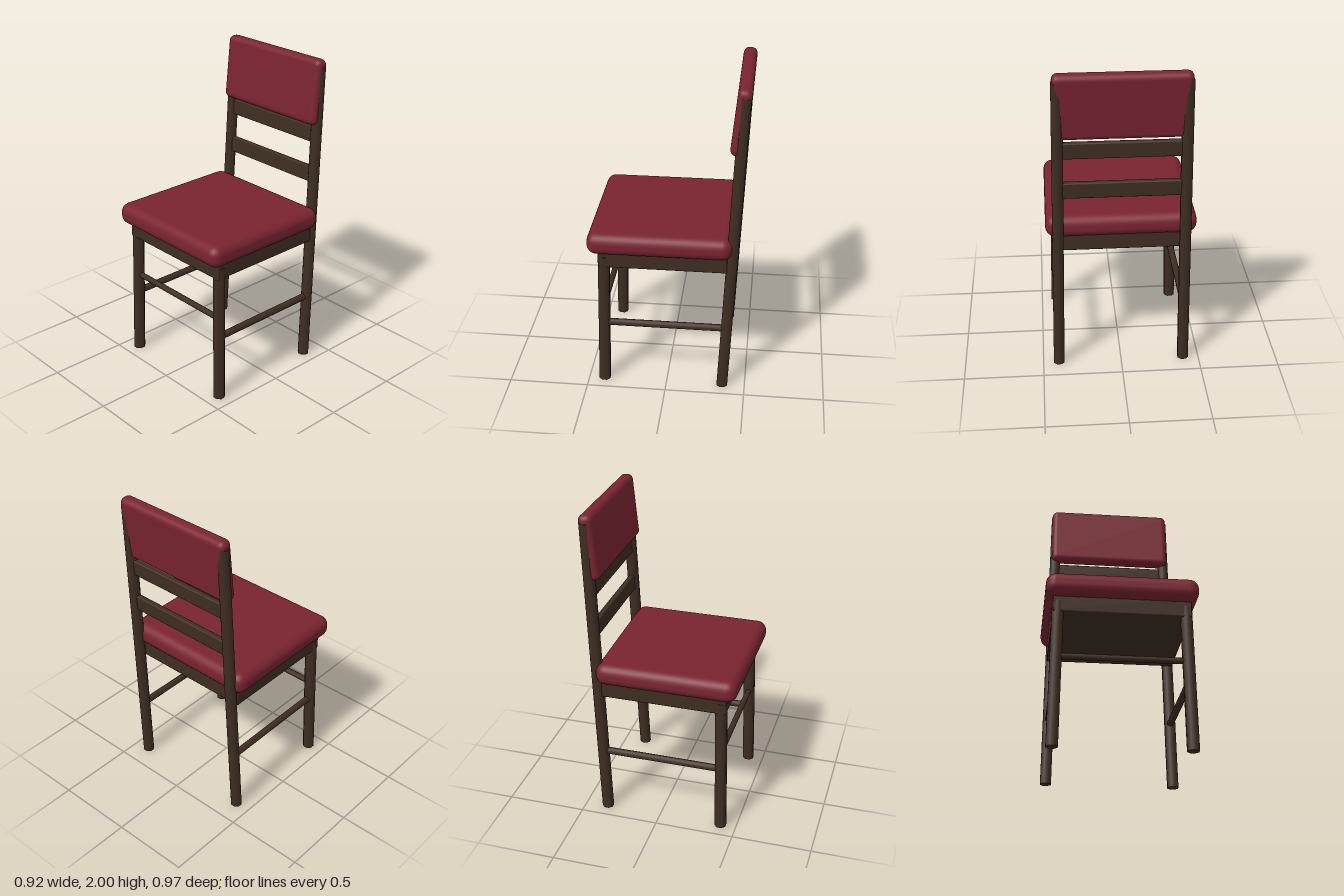
import * as THREE from 'three';
import { RoundedBoxGeometry } from 'three/addons/geometries/RoundedBoxGeometry.js';

export function createModel() {
  const chair = new THREE.Group();
  chair.name = 'chair';

  const wood = new THREE.MeshStandardMaterial({ color: 0x3f2e22 });
  wood.name = 'dark wood';
  const fabric = new THREE.MeshStandardMaterial({ color: 0x7a2430 });
  fabric.name = 'red fabric';

  const add = (name, geometry, material, x, y, z, tilt = 0) => {
    const mesh = new THREE.Mesh(geometry, material);
    mesh.name = name;
    mesh.position.set(x, y, z);
    mesh.rotation.x = tilt;
    chair.add(mesh);
    return mesh;
  };

  // Upright octagonal bar sheared between two points, so its ends stay level
  const addPost = (name, a, b, halfWidth) => {
    const height = b.y - a.y;
    const g = new THREE.CylinderGeometry(halfWidth, halfWidth, height, 8);
    g.rotateY(Math.PI / 8);
    g.scale(1 / Math.cos(Math.PI / 8), 1, 1 / Math.cos(Math.PI / 8));
    const shear = new THREE.Matrix4().set(
      1, (b.x - a.x) / height, 0, 0,
      0, 1, 0, 0,
      0, (b.z - a.z) / height, 1, 0,
      0, 0, 0, 1);
    g.applyMatrix4(shear);
    add(name, g, wood, (a.x + b.x) / 2, (a.y + b.y) / 2, (a.z + b.z) / 2);
  };

  // Legs, back posts and side stretchers, mirrored
  for (const [side, s] of [['left', 1], ['right', -1]]) {
    addPost(side + 'FrontLeg',
      new THREE.Vector3(0.4 * s, 0, 0.4), new THREE.Vector3(0.384 * s, 0.9, 0.385), 0.035);
    addPost(side + 'BackPost',
      new THREE.Vector3(0.4 * s, 0, -0.356), new THREE.Vector3(0.37 * s, 1.95, -0.447), 0.034);
    add(side + 'Stretcher', new THREE.CylinderGeometry(0.022, 0.022, 0.75, 10),
      wood, 0.393 * s, 0.425, 0.01, Math.PI / 2);
  }

  // Front stretcher
  add('frontStretcher', new THREE.CylinderGeometry(0.019, 0.019, 0.76, 10), wood, 0, 0.553, 0.391)
    .rotation.z = Math.PI / 2;

  // Seat frame and cushion
  add('seatFrame', new RoundedBoxGeometry(0.83, 0.13, 0.79, 1, 0.008), wood, 0, 0.895, 0.025);
  add('seatCushion', new RoundedBoxGeometry(0.92, 0.14, 0.885, 3, 0.06), fabric, 0, 0.995, 0.0425);

  // Back rails follow the lean of the posts
  for (const [name, y] of [['lowerBackRail', 1.265], ['upperBackRail', 1.525]]) {
    add(name, new RoundedBoxGeometry(0.74, 0.102, 0.035, 1, 0.008),
      wood, 0, y, -0.356 - 0.0467 * y, -0.047);
  }

  // Padded backrest leans further than the posts
  add('backCushion', new RoundedBoxGeometry(0.8, 0.41, 0.085, 3, 0.036), fabric, 0, 1.795, -0.427, -0.1);

  return chair;
}
